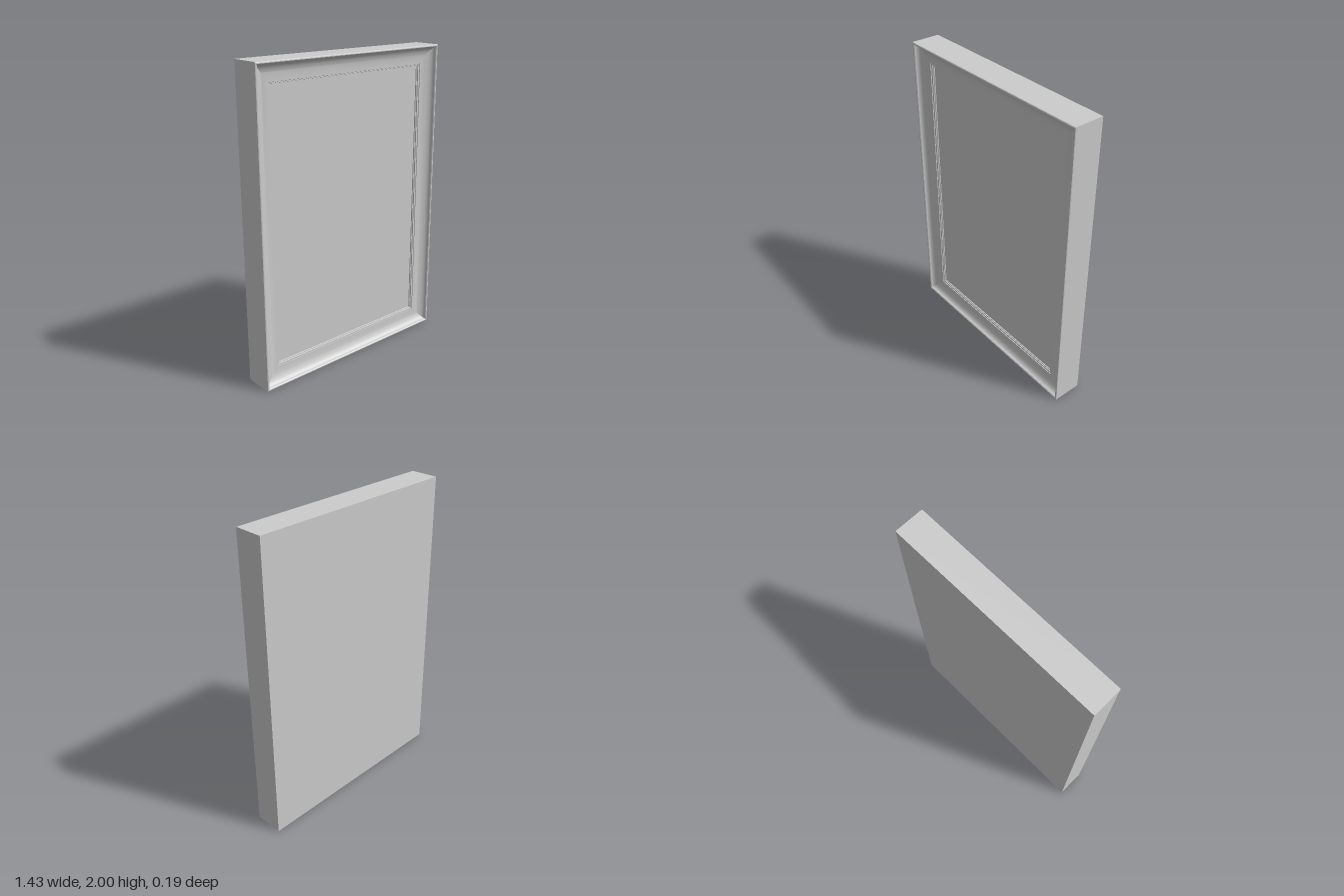
import * as THREE from 'three';
import { toCreasedNormals } from 'three/addons/utils/BufferGeometryUtils.js';

const HALF_W = 0.717, HALF_H = 1, BACK = -0.097, FRONT = 0.097, PANEL_Z = 0.03, PANEL_INSET = 0.139;

// Moulding cross-section as [inset from the outer edge, z]
function mouldingProfile() {
  const pts = [[0, BACK], [0, 0.09], [0.002, 0.095], [0.006, FRONT], [0.011, FRONT], [0.016, 0.092]];
  // concave cove: steep at the rim, flattening inwards
  const steps = 12;
  for (let i = 1; i <= steps; i++) {
    const a = (i / steps) * Math.PI / 2;
    pts.push([0.112 - 0.096 * Math.cos(a), 0.092 - 0.045 * Math.sin(a)]);
  }
  // stepped inner lip
  pts.push([0.112, 0.042], [0.123, 0.042], [0.125, 0.036], [0.131, 0.036], [0.133, PANEL_Z], [PANEL_INSET, PANEL_Z]);
  return pts;
}

// Sweep the profile around the rectangle with mitred corners
function mouldingGeometry() {
  const profile = mouldingProfile();
  const corners = [[-1, -1], [1, -1], [1, 1], [-1, 1]];
  const at = ([sx, sy], [inset, z]) => [sx * (HALF_W - inset), HALF_H + sy * (HALF_H - inset), z];
  const pos = [];
  for (let k = 0; k < 4; k++) {
    const a = corners[k], b = corners[(k + 1) % 4];
    for (let j = 0; j < profile.length - 1; j++) {
      const p = profile[j], q = profile[j + 1];
      pos.push(...at(a, p), ...at(b, p), ...at(b, q), ...at(a, p), ...at(b, q), ...at(a, q));
    }
  }
  const geo = new THREE.BufferGeometry();
  geo.setAttribute('position', new THREE.Float32BufferAttribute(pos, 3));
  return toCreasedNormals(geo, 0.35);
}

export function createModel() {
  const group = new THREE.Group();
  group.name = 'pictureFrame';
  const material = new THREE.MeshStandardMaterial({ color: 0xcccccc });
  const add = (name, geometry) => {
    const mesh = new THREE.Mesh(geometry, material);
    mesh.name = name;
    group.add(mesh);
    return mesh;
  };

  add('frameMoulding', mouldingGeometry());

  // recessed picture surface
  const panel = add('picturePanel', new THREE.PlaneGeometry(2 * (HALF_W - PANEL_INSET), 2 * (HALF_H - PANEL_INSET)));
  panel.position.set(0, HALF_H, PANEL_Z);

  // flat back closing the frame
  const back = add('backBoard', new THREE.PlaneGeometry(2 * HALF_W, 2 * HALF_H));
  back.position.set(0, HALF_H, BACK);
  back.rotation.y = Math.PI;

  return group;
}
